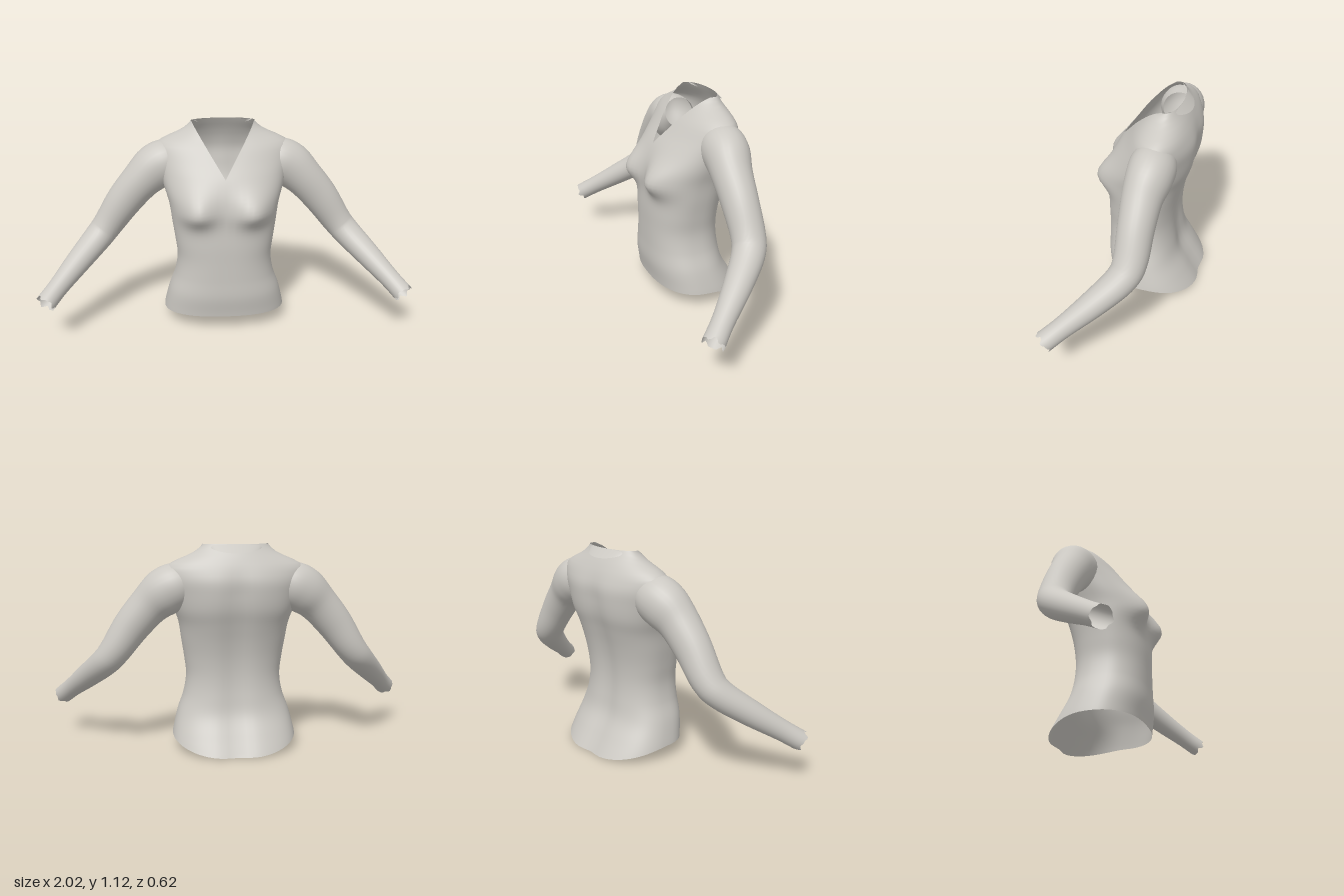
import * as THREE from 'three';
import { mergeVertices } from 'three/addons/utils/BufferGeometryUtils.js';

const knit = new THREE.MeshStandardMaterial({ color: 0xcbc8c2, side: THREE.DoubleSide });
knit.name = 'pale grey knit';

// Smooth grid surface; point(i, j) gives [x, y, z]
function grid(name, rows, cols, point, flip = false) {
  const pos = [], idx = [];
  for (let i = 0; i <= rows; i++) for (let j = 0; j <= cols; j++) pos.push(...point(i, j));
  for (let i = 0; i < rows; i++) for (let j = 0; j < cols; j++) {
    const a = i * (cols + 1) + j, b = a + 1, d = a + cols + 1, c = d + 1;
    if (flip) idx.push(a, c, b, a, d, c);
    else idx.push(a, b, c, a, c, d);
  }
  let g = new THREE.BufferGeometry();
  g.setAttribute('position', new THREE.Float32BufferAttribute(pos, 3));
  g.setIndex(idx);
  g = mergeVertices(g, 1e-5);
  g.computeVertexNormals();
  const mesh = new THREE.Mesh(g, knit);
  mesh.name = name;
  return mesh;
}

// Smooth lookup in rows of [key, values...]
function sample(table, y) {
  let k = 0;
  while (k < table.length - 2 && y > table[k + 1][0]) k++;
  const at = (n) => table[Math.min(Math.max(n, 0), table.length - 1)];
  const [p, a, b, q] = [at(k - 1), at(k), at(k + 1), at(k + 2)];
  const h = b[0] - a[0], t = Math.min(Math.max((y - a[0]) / h, 0), 1);
  return a.slice(1).map((_, n) => {
    const c = n + 1;
    const m0 = (b[c] - p[c]) / (b[0] - p[0]) * h, m1 = (q[c] - a[c]) / (q[0] - a[0]) * h;
    return THREE.MathUtils.lerp(a[c], b[c], t * t * (3 - 2 * t))
      + m0 * t * (1 - t) ** 2 - m1 * t * t * (1 - t);
  });
}

// Torso sections: height, half width, front z, side z, back z
const TORSO = [
  [0.00, 0.345, 0.18, -0.05, -0.325], [0.05, 0.343, 0.18, -0.04, -0.295],
  [0.10, 0.335, 0.185, -0.03, -0.265], [0.20, 0.31, 0.20, -0.01, -0.21],
  [0.30, 0.275, 0.20, 0, -0.19], [0.40, 0.26, 0.20, 0, -0.183],
  [0.50, 0.27, 0.20, 0, -0.19], [0.60, 0.285, 0.195, -0.01, -0.21],
  [0.70, 0.30, 0.19, -0.03, -0.24], [0.78, 0.325, 0.175, -0.06, -0.267],
  [0.86, 0.35, 0.14, -0.09, -0.28], [0.93, 0.37, 0.09, -0.11, -0.28],
  [1.00, 0.365, 0.04, -0.12, -0.255], [1.03, 0.325, 0.015, -0.12, -0.24],
  [1.06, 0.255, -0.005, -0.125, -0.225], [1.09, 0.20, -0.02, -0.13, -0.207],
  [1.12, 0.174, -0.03, -0.13, -0.19],
];
const V_TIP = 0.86, TOP = 1.12;
const bell = (d, s) => Math.exp(-((d / s) ** 2));
const spow = (v, p) => Math.sign(v) * Math.abs(v) ** p;

function torsoPoint(i, j) {
  let y = i * 0.02;
  const p = 0.82 + 0.18 * THREE.MathUtils.smoothstep(y, 0.72, 0.92);
  // V neck: rings above the tip open at the front
  const notch = 0.17 * Math.max(0, y - V_TIP - 1e-6) / (TOP - V_TIP);
  const start = Math.asin(Math.min(1, (notch / sample(TORSO, y)[0]) ** (1 / p)));
  const th = start + (2 * Math.PI - 2 * start) * j / 64;
  const c = Math.cos(th), s = Math.sin(th);
  // Hem drops towards the back
  if (y < 0.3) {
    const hem = c > 0 ? 0.077 + 0.008 * c : 0.077 - 0.073 * (-c) ** 1.5;
    y = THREE.MathUtils.lerp(hem, 0.3, y / 0.3);
  }
  const [w, front, side, back] = sample(TORSO, y);
  const x = w * spow(s, p);
  let z = side + (c > 0 ? front - side : side - back) * spow(c, p);
  if (c > 0) {
    // Bust, fuller below than above
    z += 0.07 * bell(Math.abs(x) - 0.155, 0.095) * bell(y - 0.685, y < 0.685 ? 0.07 : 0.105) * Math.min(1, c * 2);
  } else {
    // Spine groove
    z += 0.02 * bell(x, 0.07) * (1 - THREE.MathUtils.smoothstep(y, 0.85, 1.05));
  }
  return [x, y, z];
}

// Sleeve sections: step, centre x, y, z, radius across, radius in depth
const SLEEVE = [
  [0, 0.22, 0.935, -0.115, 0.085, 0.09], [1, 0.30, 0.905, -0.11, 0.122, 0.118],
  [2, 0.375, 0.865, -0.105, 0.127, 0.117], [3, 0.455, 0.795, -0.092, 0.108, 0.102],
  [4, 0.55, 0.685, -0.088, 0.098, 0.092], [5, 0.645, 0.55, -0.084, 0.083, 0.086],
  [6, 0.705, 0.48, -0.05, 0.075, 0.082], [7, 0.80, 0.39, 0.055, 0.066, 0.07],
  [8, 0.90, 0.295, 0.18, 0.054, 0.055], [9, 0.962, 0.235, 0.26, 0.052, 0.056],
];
function sleevePoint(sign) {
  return (i, j) => {
    const t = i / 5, a = 2 * Math.PI * (j % 28) / 28;
    const [x, y, z, ru, rv] = sample(SLEEVE, t);
    const before = sample(SLEEVE, Math.max(0, t - 0.3)), after = sample(SLEEVE, Math.min(9, t + 0.3));
    const T = new THREE.Vector3(after[0] - before[0], after[1] - before[1], after[2] - before[2]).normalize();
    const U = new THREE.Vector3(0, 1, 0).addScaledVector(T, -T.y).normalize();
    const V = new THREE.Vector3().crossVectors(T, U);
    const q = new THREE.Vector3(x, y, z)
      .addScaledVector(U, ru * Math.cos(a)).addScaledVector(V, rv * Math.sin(a));
    // Uneven cuff edge
    if (i === 45) q.addScaledVector(T, 0.008 * Math.sin(a * 5) + 0.006 * Math.sin(a * 8 + 1));
    return [sign * q.x, q.y, q.z];
  };
}

// Folded collar behind the neck
function collarPoint(i, j) {
  const a = Math.PI - 1.35 + 2.7 * j / 20, t = i / 3;
  const k = -Math.cos(a), mix = THREE.MathUtils.lerp;
  return [mix(0.15, 0.165, t) * Math.sin(a), 1.12 - 0.045 * k * (1 - t), -0.13 - mix(0.107, 0.06, t) * k];
}

export function createModel() {
  const top = new THREE.Group();
  top.name = 'longSleeveTop';
  top.add(grid('torso', 56, 64, torsoPoint));
  top.add(grid('leftSleeve', 45, 28, sleevePoint(1)));
  top.add(grid('rightSleeve', 45, 28, sleevePoint(-1), true));
  top.add(grid('backCollar', 3, 20, collarPoint));
  return top;
}
